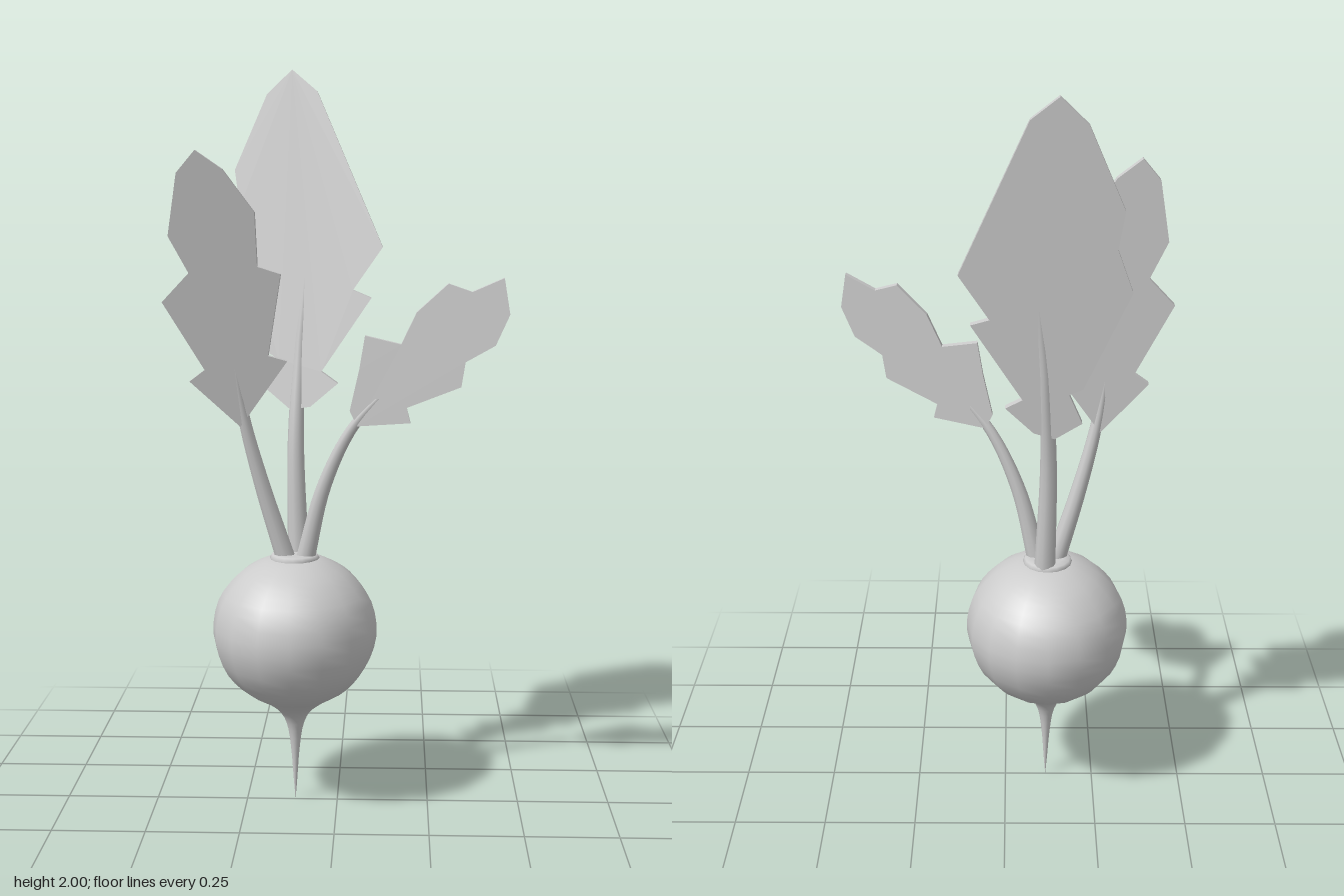
import * as THREE from 'three';

const grey = new THREE.MeshStandardMaterial({ color: 0xcccccc });
const CENTRE_X = -0.116;

function add(group, geometry, name) {
  const mesh = new THREE.Mesh(geometry, grey);
  mesh.name = name;
  group.add(mesh);
  return mesh;
}

// Smooth turned body, slightly deeper than wide
function turned(group, points, smooth, name) {
  let profile = points.map(([r, y]) => new THREE.Vector2(r, y));
  if (smooth) profile = new THREE.SplineCurve(profile).getPoints(36);
  profile.forEach((p) => { p.x = Math.max(p.x, 0); });
  const mesh = add(group, new THREE.LatheGeometry(profile, 16), name);
  mesh.position.x = CENTRE_X;
  mesh.scale.z = 1.11;
}

// Flat toothed blade: outline in x, y; slanted onto z = a + b x + c y
function bladeGeometry(outline, [a, b, c], thickness) {
  const shape = new THREE.Shape(outline.map(([x, y]) => new THREE.Vector2(x, y)));
  const geo = new THREE.ExtrudeGeometry(shape, { depth: thickness, bevelEnabled: false });
  const pos = geo.attributes.position;
  for (let i = 0; i < pos.count; i++) {
    pos.setZ(i, pos.getZ(i) - thickness / 2 + a + b * pos.getX(i) + c * pos.getY(i));
  }
  geo.computeVertexNormals();
  return geo;
}

// Round stalk thinning to a fine vein at its tip
function stalkGeometry(points, baseRadius, tipRadius) {
  const curve = new THREE.CatmullRomCurve3(points.map((p) => new THREE.Vector3(...p)));
  const steps = 20, sides = 10;
  const geo = new THREE.TubeGeometry(curve, steps, 1, sides, false);
  const pos = geo.attributes.position;
  const v = new THREE.Vector3();
  for (let i = 0; i < pos.count; i++) {
    const t = Math.floor(i / (sides + 1)) / steps;
    const centre = curve.getPointAt(t);
    v.fromBufferAttribute(pos, i).sub(centre);
    v.multiplyScalar(THREE.MathUtils.lerp(baseRadius, tipRadius, t)).add(centre);
    pos.setXYZ(i, v.x, v.y, v.z);
  }
  return geo;
}

const leaves = [
  {
    name: 'backLeaf', plane: [0.135, 0.31, -0.16], thickness: 0.026, radius: 0.029,
    outline: [[-0.13, 2], [-0.2, 1.935], [-0.29, 1.73], [-0.275, 1.63], [-0.315, 1.52],
      [-0.2, 1.24], [-0.165, 1.22], [-0.2, 1.14], [-0.13, 1.085], [-0.075, 1.095], [0, 1.16],
      [-0.045, 1.19], [0.09, 1.39], [0.04, 1.41], [0.12, 1.525], [-0.06, 1.94]],
    stalk: [[-0.108, 0.68, -0.042], [-0.115, 1, -0.06], [-0.105, 1.25, -0.098],
      [-0.09, 1.5, -0.133], [-0.13, 1.74, -0.184]],
  },
  {
    name: 'rightLeaf', plane: [-0.11, -0.17, 0.107], thickness: 0.026, radius: 0.027,
    outline: [[-0.357, 1.777], [-0.405, 1.72], [-0.43, 1.56], [-0.38, 1.465], [-0.45, 1.39],
      [-0.345, 1.21], [-0.385, 1.18], [-0.255, 1.055], [-0.13, 1.23], [-0.18, 1.245],
      [-0.145, 1.46], [-0.205, 1.48], [-0.21, 1.62], [-0.29, 1.73]],
    stalk: [[-0.137, 0.68, 0.01], [-0.2, 0.89, 0.027], [-0.245, 1.07, 0.046],
      [-0.27, 1.23, 0.068], [-0.295, 1.46, 0.096]],
  },
  {
    name: 'leftLeaf', plane: [0.045, 0.3, 0], thickness: 0.022, radius: 0.027,
    outline: [[0.43, 1.457], [0.35, 1.42], [0.29, 1.44], [0.21, 1.365], [0.17, 1.28],
      [0.075, 1.3], [0.06, 1.21], [0.035, 1.1], [0.055, 1.06], [0.195, 1.075], [0.185, 1.115],
      [0.325, 1.175], [0.335, 1.24], [0.41, 1.285], [0.445, 1.365]],
    stalk: [[-0.088, 0.68, 0.015], [-0.035, 0.89, 0.033], [0.04, 1.05, 0.057],
      [0.125, 1.15, 0.083], [0.21, 1.235, 0.108]],
  },
];

export function createModel() {
  const model = new THREE.Group();
  model.name = 'rootVegetable';

  // Round root running down to a thin tail
  turned(model, [[0, 0], [0.005, 0.06], [0.011, 0.14], [0.021, 0.21], [0.042, 0.255],
    [0.085, 0.29], [0.145, 0.327], [0.197, 0.388], [0.224, 0.475], [0.21, 0.565],
    [0.165, 0.63], [0.115, 0.668], [0.06, 0.69], [0, 0.693]], true, 'bulb');

  // Low collar the stalks grow from
  turned(model, [[0.05, 0.672], [0.064, 0.678], [0.068, 0.689], [0.062, 0.699],
    [0.045, 0.701], [0, 0.699]], false, 'crown');

  // Leaves, each with its stalk
  for (const { name, outline, plane, thickness, stalk, radius } of leaves) {
    const leaf = new THREE.Group();
    leaf.name = name;
    add(leaf, bladeGeometry(outline, plane, thickness), 'blade');
    add(leaf, stalkGeometry(stalk, radius, 0.006), 'stalk');
    model.add(leaf);
  }
  return model;
}
